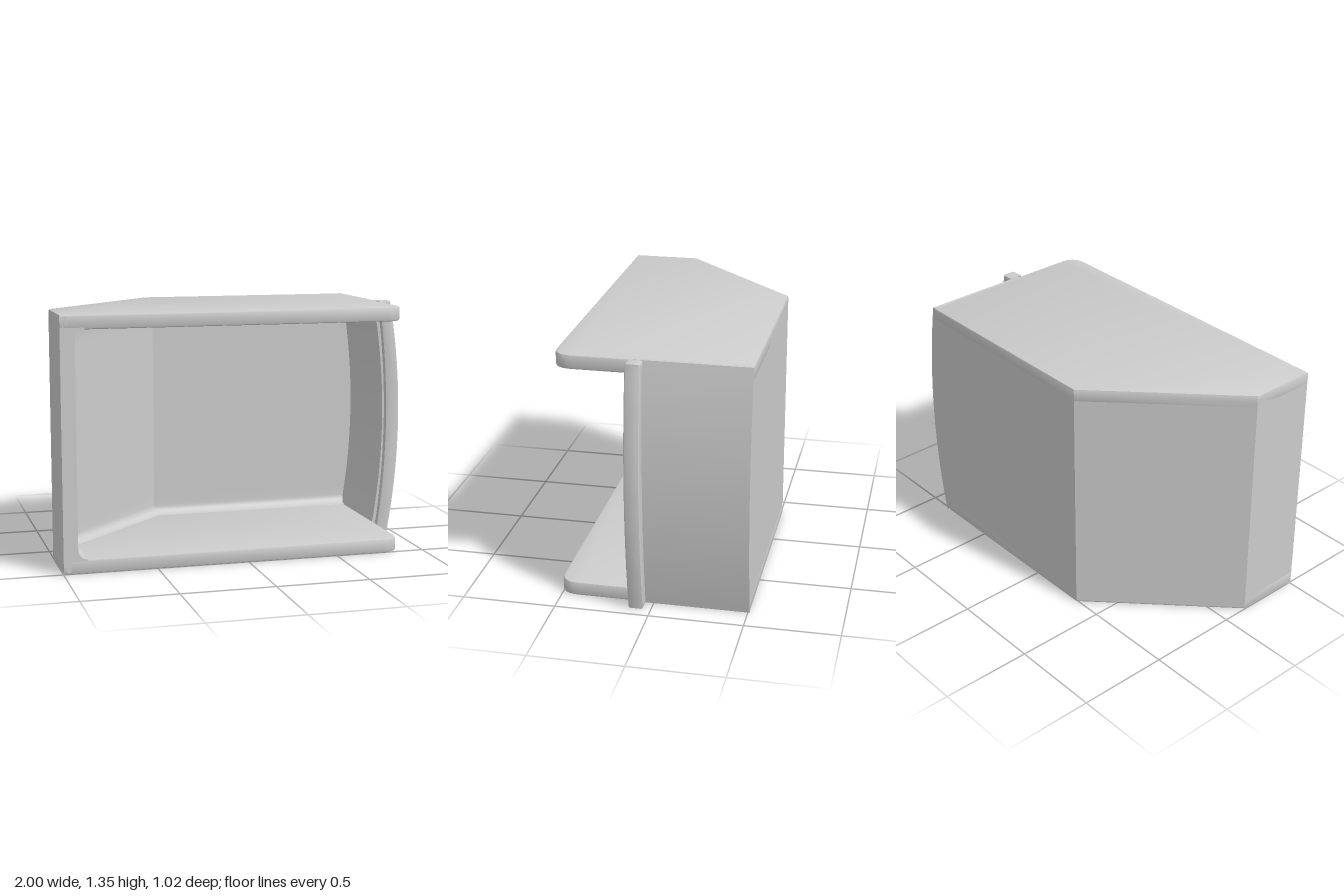
import * as THREE from 'three';
import { toCreasedNormals } from 'three/addons/utils/BufferGeometryUtils.js';

const H = 1.35, T = 0.077, BEVEL = 0.01, FILLET = 0.05;

// Outward bow of the side panel: 0 at floor and top, 1 at mid height
const bow = (y) => 1 - ((2 * y) / H - 1) ** 2;

export function createModel() {
  const group = new THREE.Group();
  const grey = new THREE.MeshStandardMaterial({ color: 0xcccccc });
  grey.name = 'light grey';

  const add = (name, geometry) => {
    const mesh = new THREE.Mesh(toCreasedNormals(geometry, 0.6), grey);
    mesh.name = name;
    group.add(mesh);
    return mesh;
  };

  // Floor and roof slabs: chamfered footprint with a rounded front corner
  const footprint = new THREE.Shape();
  footprint.moveTo(-1, 0.51);
  footprint.lineTo(-1, 0.14);
  footprint.lineTo(-0.345, -0.51);
  footprint.lineTo(0.862, -0.51);
  footprint.lineTo(0.862, 0.41);
  footprint.quadraticCurveTo(0.862, 0.51, 0.765, 0.51);
  footprint.closePath();
  for (const [name, top] of [['floor', T], ['roof', H]]) {
    const slab = new THREE.ExtrudeGeometry(footprint, {
      depth: T - 2 * BEVEL, bevelThickness: BEVEL, bevelSize: BEVEL,
      bevelOffset: -BEVEL, bevelSegments: 2, curveSegments: 10,
    });
    slab.rotateX(Math.PI / 2);
    add(name, slab).position.y = top - BEVEL;
  }

  // Wall section (inward offset, height) with coves meeting floor and roof
  const section = [];
  const lo = T + FILLET, hi = H - T - FILLET, n = 20;
  section.push([T + FILLET, T - 0.01], [T + FILLET, T]);
  for (let i = 1; i <= 6; i++) {
    const a = (i / 6) * Math.PI / 2;
    section.push([T + FILLET * (1 - Math.sin(a)), T + FILLET * (1 - Math.cos(a))]);
  }
  for (let i = 1; i < n; i++) section.push([T, lo + ((hi - lo) * i) / n]);
  for (let i = 6; i >= 0; i--) {
    const a = (i / 6) * Math.PI / 2;
    section.push([T + FILLET * (1 - Math.sin(a)), H - T - FILLET * (1 - Math.cos(a))]);
  }
  section.push([T + FILLET, H - T + 0.01], [0.04, H - T + 0.01], [0.04, H - BEVEL]);
  for (let i = n; i >= 0; i--) section.push([0, BEVEL + ((H - 2 * BEVEL) * i) / n]);
  section.push([0.04, BEVEL], [0.04, T - 0.01]);

  // Sweep it along back, diagonal and left end with mitred corners
  const stations = [
    { x: 0.862, z: -0.51, mx: 0, mz: 1 },
    { x: -0.345, z: -0.51, mx: 0.414, mz: 1 },
    { x: -1, z: 0.14, mx: 1, mz: 0.414 },
    { x: -1, z: 0.51, mx: 1, mz: 0 },
  ];
  const wall = new THREE.ExtrudeGeometry(
    new THREE.Shape(section.map(([d, y]) => new THREE.Vector2(d, y))),
    { depth: 3, steps: 3, bevelEnabled: false },
  );
  const p = wall.attributes.position;
  for (let i = 0; i < p.count; i++) {
    const k = Math.round(p.getZ(i)), s = stations[k], d = p.getX(i), y = p.getY(i);
    const bulge = k === 0 ? 0.06 * bow(y) : 0;
    p.setXYZ(i, s.x + s.mx * d + bulge, y, s.z + s.mz * d);
  }
  add('backAndLeftWall', wall);

  // Bowed strip between two curves, extruded in z
  const bowedStrip = (inner, innerBow, outer, outerBow, options) => {
    const pts = [];
    for (let i = 0; i <= 24; i++) {
      const y = (H * i) / 24;
      pts.push(new THREE.Vector2(outer + outerBow * bow(y), y));
    }
    for (let i = 24; i >= 0; i--) {
      const y = (H * i) / 24;
      pts.push(new THREE.Vector2(inner + innerBow * bow(y), y));
    }
    return new THREE.ExtrudeGeometry(new THREE.Shape(pts), options);
  };

  // Bowed side panel
  const panel = bowedStrip(0.845, 0.065, 0.864, 0.066, { depth: 0.6, bevelEnabled: false });
  add('bowedSidePanel', panel).position.z = -0.51;

  // Raised lip along the front edge of the side panel
  const lip = bowedStrip(0.868, 0.052, 0.937, 0.063, {
    depth: 0.08 - 2 * BEVEL, bevelThickness: BEVEL, bevelSize: BEVEL,
    bevelOffset: -BEVEL, bevelSegments: 2,
  });
  add('sideLip', lip).position.z = 0.04 + BEVEL;

  return group;
}
